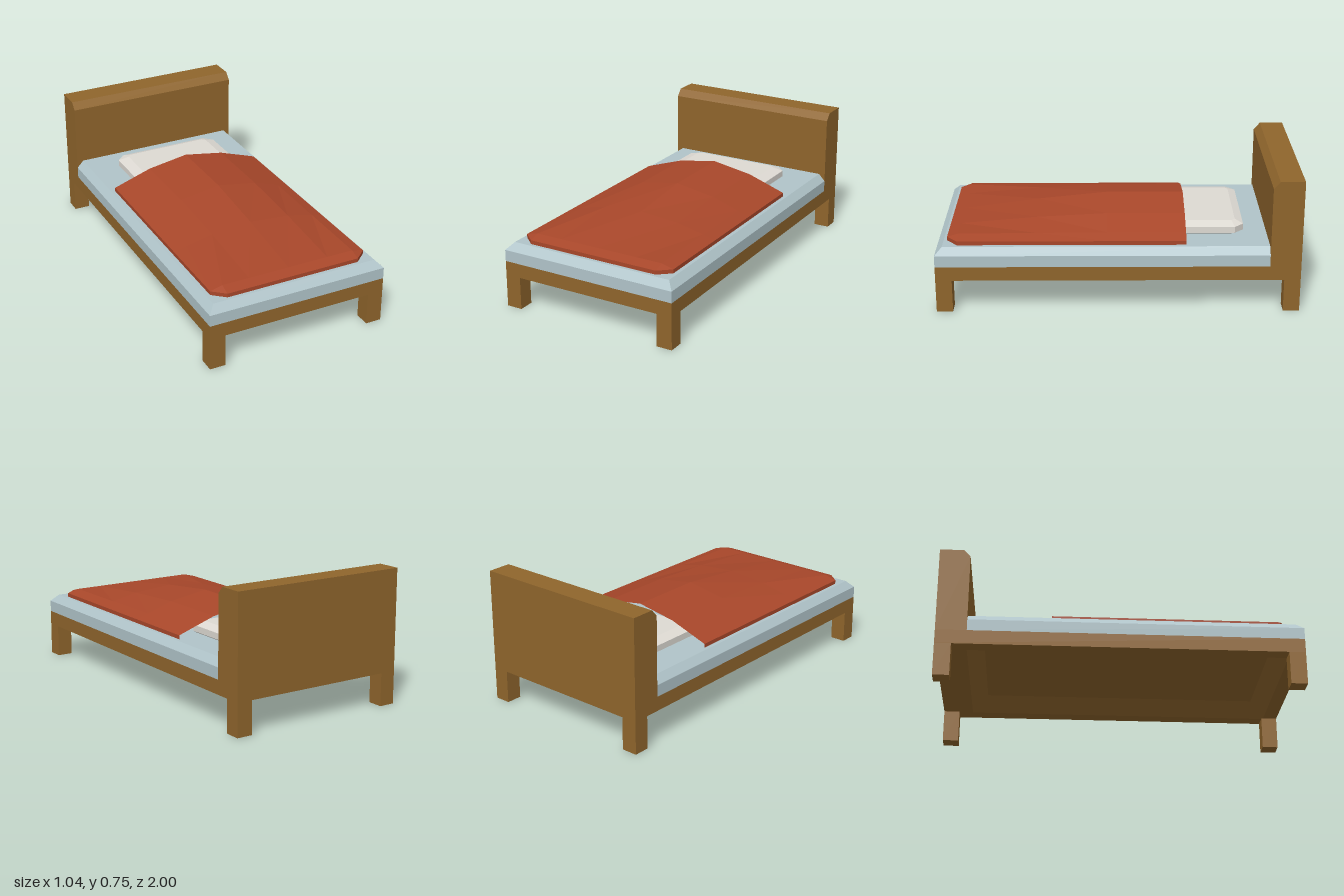
import * as THREE from 'three';

const material = (color) =>
  new THREE.MeshStandardMaterial({ color, flatShading: true, side: THREE.DoubleSide });

// Skin over rows of points, optionally joined around and closed by a top cap
function skin(rows, { around = false, top = false } = {}) {
  const pos = [];
  const tri = (a, b, c) => pos.push(...a, ...b, ...c);
  const n = rows[0].length;
  for (let r = 0; r + 1 < rows.length; r++) {
    for (let i = 0; i < (around ? n : n - 1); i++) {
      const j = (i + 1) % n;
      tri(rows[r][i], rows[r][j], rows[r + 1][j]);
      tri(rows[r][i], rows[r + 1][j], rows[r + 1][i]);
    }
  }
  const last = rows[rows.length - 1];
  if (top) for (let i = 1; i + 1 < n; i++) tri(last[0], last[i], last[i + 1]);
  const g = new THREE.BufferGeometry();
  g.setAttribute('position', new THREE.Float32BufferAttribute(pos, 3));
  g.computeVertexNormals();
  return g;
}

// Rectangle outline at height y, with its two back corners cut by c
const outline = (y, hx, z0, z1, c = 0) => [
  [hx, y, z1], [hx, y, z0 + c], [hx - c, y, z0],
  [-hx + c, y, z0], [-hx, y, z0 + c], [-hx, y, z1],
];

export function createModel() {
  const bed = new THREE.Group();
  bed.name = 'bed';
  const wood = material(0x8f652c);
  const add = (name, geometry, mat) => {
    const mesh = new THREE.Mesh(geometry, mat);
    mesh.name = name;
    bed.add(mesh);
    return mesh;
  };

  // Frame: sloped hollow underneath, flat rim, upright outer sides
  add('frame', skin([
    outline(0.265, 0.358, -0.74, 0.835),
    outline(0.185, 0.44, -0.83, 0.92),
    outline(0.185, 0.52, -1, 1),
    outline(0.265, 0.52, -1, 1),
  ], { around: true }), wood);
  add('basePanel', new THREE.BoxGeometry(0.72, 0.01, 1.58).translate(0, 0.27, 0.0475), wood);

  // Legs
  for (const sx of [1, -1]) {
    for (const sz of [1, -1]) {
      const name = (sz > 0 ? 'front' : 'back') + (sx > 0 ? 'Left' : 'Right') + 'Leg';
      add(name, new THREE.BoxGeometry(0.09, 0.185, 0.09), wood)
        .position.set(sx * 0.475, 0.0925, sz * 0.955);
    }
  }

  // Headboard: side profile with a bevelled front top edge
  const profile = new THREE.Shape();
  profile.moveTo(-1, 0.265);
  profile.lineTo(-0.83, 0.265);
  profile.lineTo(-0.83, 0.715);
  profile.lineTo(-0.865, 0.755);
  profile.lineTo(-1, 0.755);
  const board = new THREE.ExtrudeGeometry(profile, { depth: 1.04, bevelEnabled: false });
  board.rotateY(-Math.PI / 2).translate(0.52, 0, 0);
  add('headboard', board, wood);

  // Mattress with sloped upper edges
  add('mattress', skin([
    outline(0.265, 0.52, -0.83, 1),
    outline(0.33, 0.52, -0.83, 1),
    outline(0.37, 0.482, -0.83, 0.96),
  ], { around: true, top: true }), material(0xb0c4c9));

  // Pillow, tucked under the blanket
  add('pillow', skin([
    outline(0.37, 0.3, -0.68, -0.3, 0.05),
    outline(0.382, 0.32, -0.7, -0.3, 0.05),
    outline(0.417, 0.32, -0.7, -0.3, 0.05),
    outline(0.435, 0.26, -0.655, -0.3, 0.02),
  ], { around: true, top: true }), material(0xdedad3));

  // Blanket: raised towards the pillow, each row is z, half width, heights from middle to edge
  const columns = [0, 0.235, 0.39, 0.46];
  const rows = [
    [-0.375, 0.46, [0.507, 0.468, 0.416, 0.392]],
    [0.06, 0.46, [0.507, 0.468, 0.416, 0.392]],
    [0.45, 0.46, [0.467, 0.447, 0.413, 0.392]],
    [0.88, 0.46, [0.41, 0.41, 0.41, 0.392]],
    [0.94, 0.39, [0.392, 0.392, 0.392, 0.392]],
    [0.94, 0.39, [0.37, 0.37, 0.37, 0.37]],
  ].map(([z, half, ys]) => {
    const side = columns.map((x, i) => [Math.min(x, half), ys[i], z]);
    side.push([half, 0.37, z]);
    const mirrored = side.slice(1).reverse().map(([x, y, zz]) => [-x, y, zz]);
    return [...mirrored, ...side];
  });
  add('blanket', skin(rows.reverse()), material(0xa8472a));

  return bed;
}
